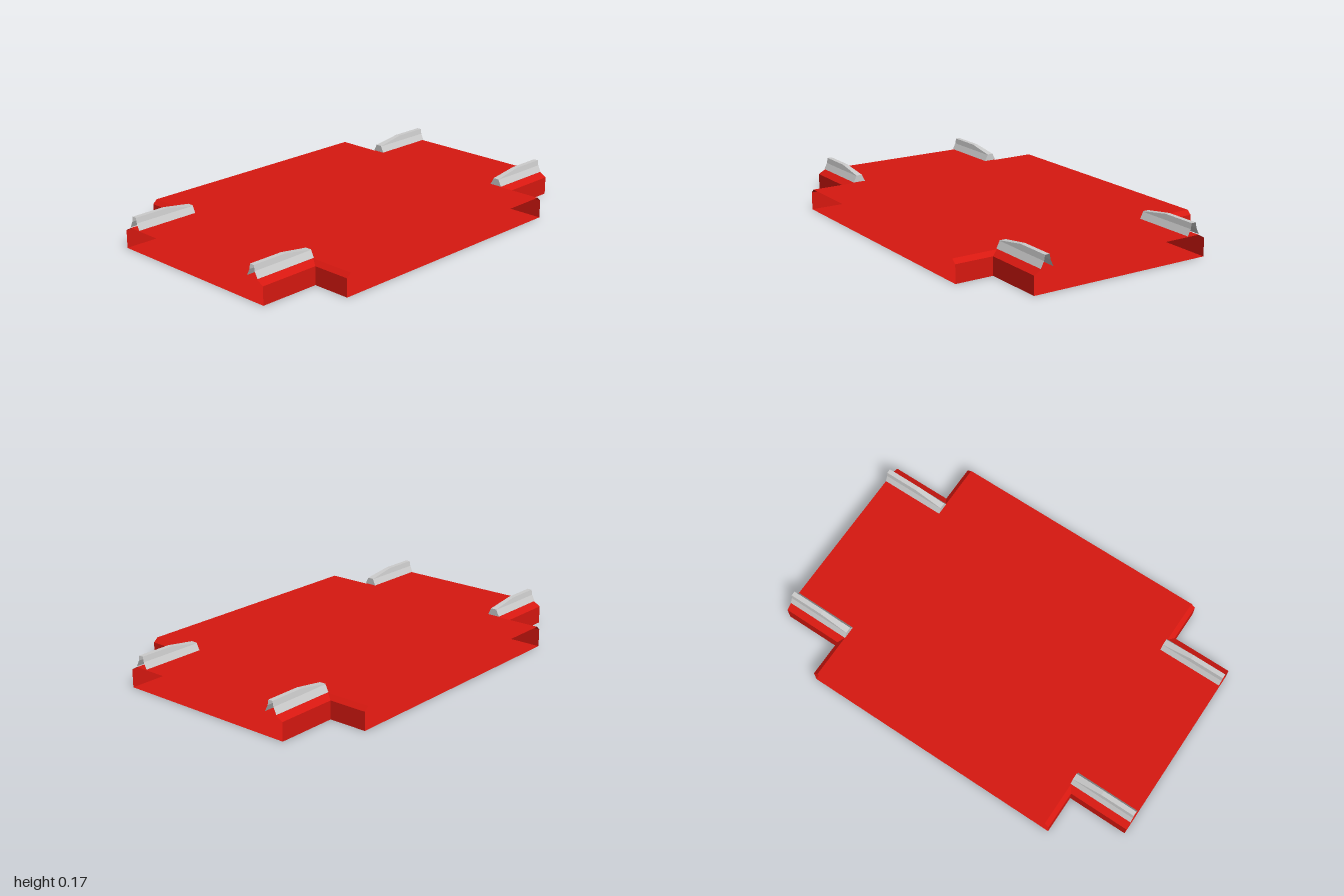
import * as THREE from 'three';

const red = new THREE.MeshStandardMaterial({ color: 0xd71810, side: THREE.DoubleSide, flatShading: true });
const grey = new THREE.MeshStandardMaterial({ color: 0xcccccc, side: THREE.DoubleSide, flatShading: true });

const END_X = 1, END_Z = 0.67;              // open ends of the cross
const BASE = { x: 0.69, z: 0.475 };         // notch corner at the floor
const TOP = { x: 0.667, z: 0.44 };          // notch corner at the deck
const DECK_Y = 0.11, BEVEL_Y = 0.09;

// Flat-faced skin over rows of points; flip turns it inside out for mirrored parts
function skin(rows, flip) {
  const pos = [];
  const tri = (a, b, c) => {
    if (new THREE.Triangle(a, b, c).getArea() < 1e-9) return;
    for (const p of flip ? [a, c, b] : [a, b, c]) pos.push(p.x, p.y, p.z);
  };
  for (let i = 0; i < rows.length - 1; i++) {
    for (let j = 0; j < rows[i].length - 1; j++) {
      const a = rows[i][j], b = rows[i][j + 1], c = rows[i + 1][j + 1], d = rows[i + 1][j];
      tri(a, b, c);
      tri(a, c, d);
    }
  }
  const geo = new THREE.BufferGeometry();
  geo.setAttribute('position', new THREE.Float32BufferAttribute(pos, 3));
  geo.computeVertexNormals();
  return geo;
}

function addMesh(group, name, geo, mat) {
  const mesh = new THREE.Mesh(geo, mat);
  mesh.name = name;
  group.add(mesh);
  return mesh;
}

// Cross-shaped sheet
function crossPlate(corner, turn) {
  const { x, z } = corner;
  const pts = [
    [END_X, -z], [END_X, z], [x, z], [x, END_Z], [-x, END_Z], [-x, z],
    [-END_X, z], [-END_X, -z], [-x, -z], [-x, -END_Z], [x, -END_Z], [x, -z],
  ].map(([a, b]) => new THREE.Vector2(a, b));
  return new THREE.ShapeGeometry(new THREE.Shape(pts)).rotateX(turn);
}

// L-shaped wall of one corner notch, bevelled along the top
function notchWall(sx, sz) {
  const rows = [[0, BASE], [BEVEL_Y, BASE], [DECK_Y, TOP]].map(([y, c]) =>
    [[c.x, END_Z], [c.x, c.z], [END_X, c.z]].map(([x, z]) => new THREE.Vector3(sx * x, y, sz * z)));
  return skin(rows, sx * sz < 0);
}

// Hollow tapered rail: closed sloping nose inboard, open at the outer end
function railGeometry(sx, sz) {
  const railZ = 0.408;
  const section = (x, topY, topHalf) => [
    [-0.033, DECK_Y + 0.003], [-0.017, 0.145], [-topHalf, topY],
    [topHalf, topY], [0.017, 0.145], [0.033, DECK_Y + 0.003],
  ].map(([z, y]) => new THREE.Vector3(sx * x, y, sz * (railZ + z)));
  const nose = section(0.665, 0.148, 0.016);
  const tip = nose.map(() => new THREE.Vector3(sx * 0.665, DECK_Y + 0.003, sz * railZ));
  return skin([tip, nose, section(0.82, 0.172, 0.012), section(END_X, 0.172, 0.012)], sx * sz < 0);
}

export function createModel() {
  const model = new THREE.Group();
  model.name = 'crossPlatform';

  // Floor and deck
  addMesh(model, 'floor', crossPlate(BASE, Math.PI / 2), red);
  addMesh(model, 'deck', crossPlate(TOP, -Math.PI / 2), red).position.y = DECK_Y;

  // Notch walls and rails at the four corners
  for (const sx of [1, -1]) {
    for (const sz of [1, -1]) {
      const place = (sz > 0 ? 'front' : 'back') + (sx > 0 ? 'Left' : 'Right');
      addMesh(model, place + 'NotchWall', notchWall(sx, sz), red);
      addMesh(model, place + 'Rail', railGeometry(sx, sz), grey);
    }
  }
  return model;
}
